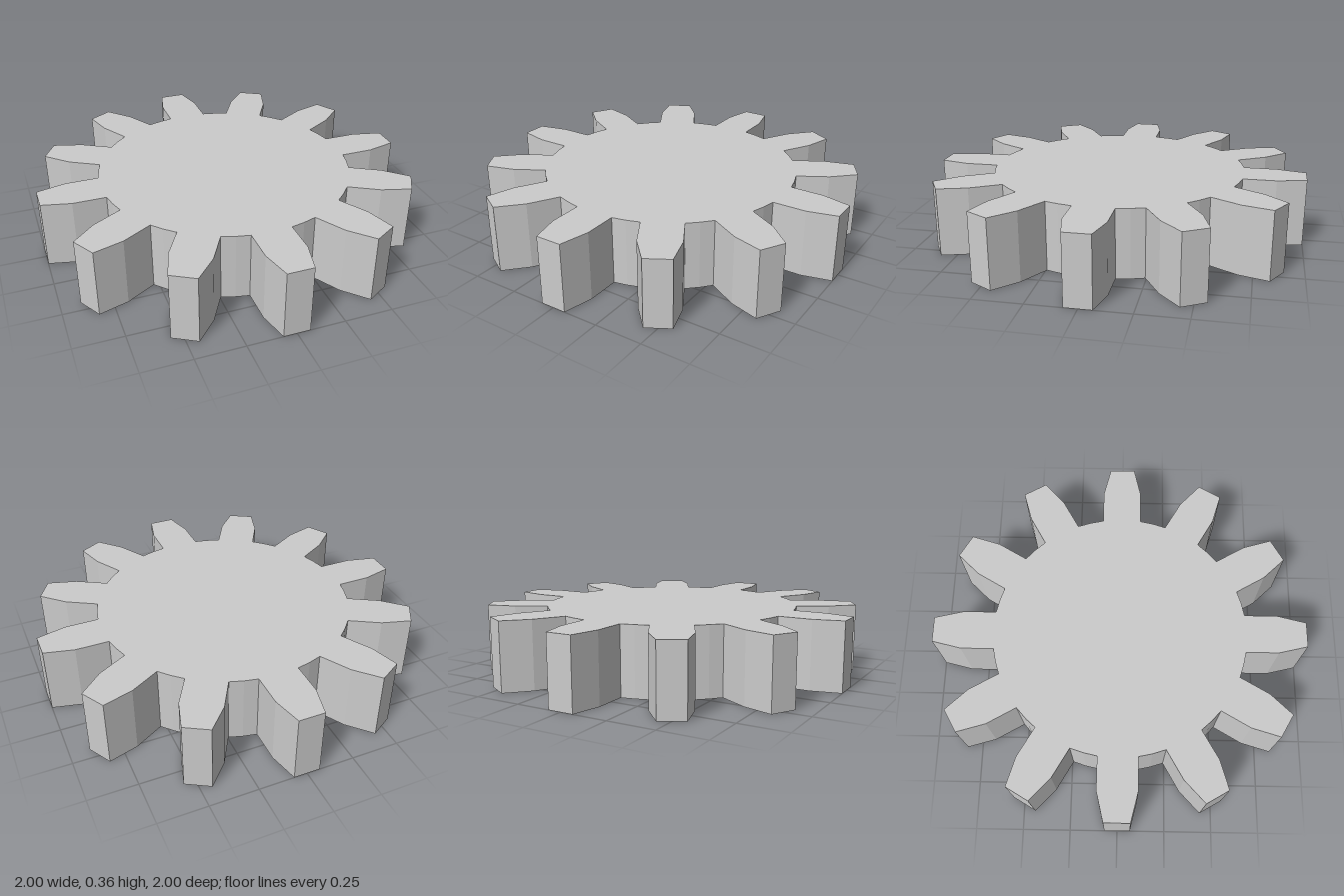
import * as THREE from 'three';

const TEETH = 12;
const THICKNESS = 0.36;
const ROOT_RADIUS = 0.678;

// One tooth pointing along +x, followed by the middle of the next valley
const toothProfile = [
  [0.67, -0.105], [0.845, -0.105], [1, -0.068],
  [1, 0.068], [0.845, 0.105], [0.67, 0.105],
  [ROOT_RADIUS * Math.cos(Math.PI / TEETH), ROOT_RADIUS * Math.sin(Math.PI / TEETH)],
];

export function createModel() {
  const group = new THREE.Group();
  group.name = 'spurGear';

  // Repeat the tooth profile around the rim
  const outline = [];
  for (let i = 0; i < TEETH; i++) {
    const angle = (i / TEETH) * Math.PI * 2;
    for (const [x, y] of toothProfile) {
      outline.push(new THREE.Vector2(x, y).rotateAround(new THREE.Vector2(), angle));
    }
  }

  // Solid gear, laid flat on the ground
  const geometry = new THREE.ExtrudeGeometry(new THREE.Shape(outline), {
    depth: THICKNESS,
    bevelEnabled: false,
  });
  geometry.rotateX(-Math.PI / 2);

  const gear = new THREE.Mesh(
    geometry,
    new THREE.MeshStandardMaterial({ color: 0xcccccc, flatShading: true }),
  );
  gear.name = 'gearBody';
  group.add(gear);
  return group;
}
